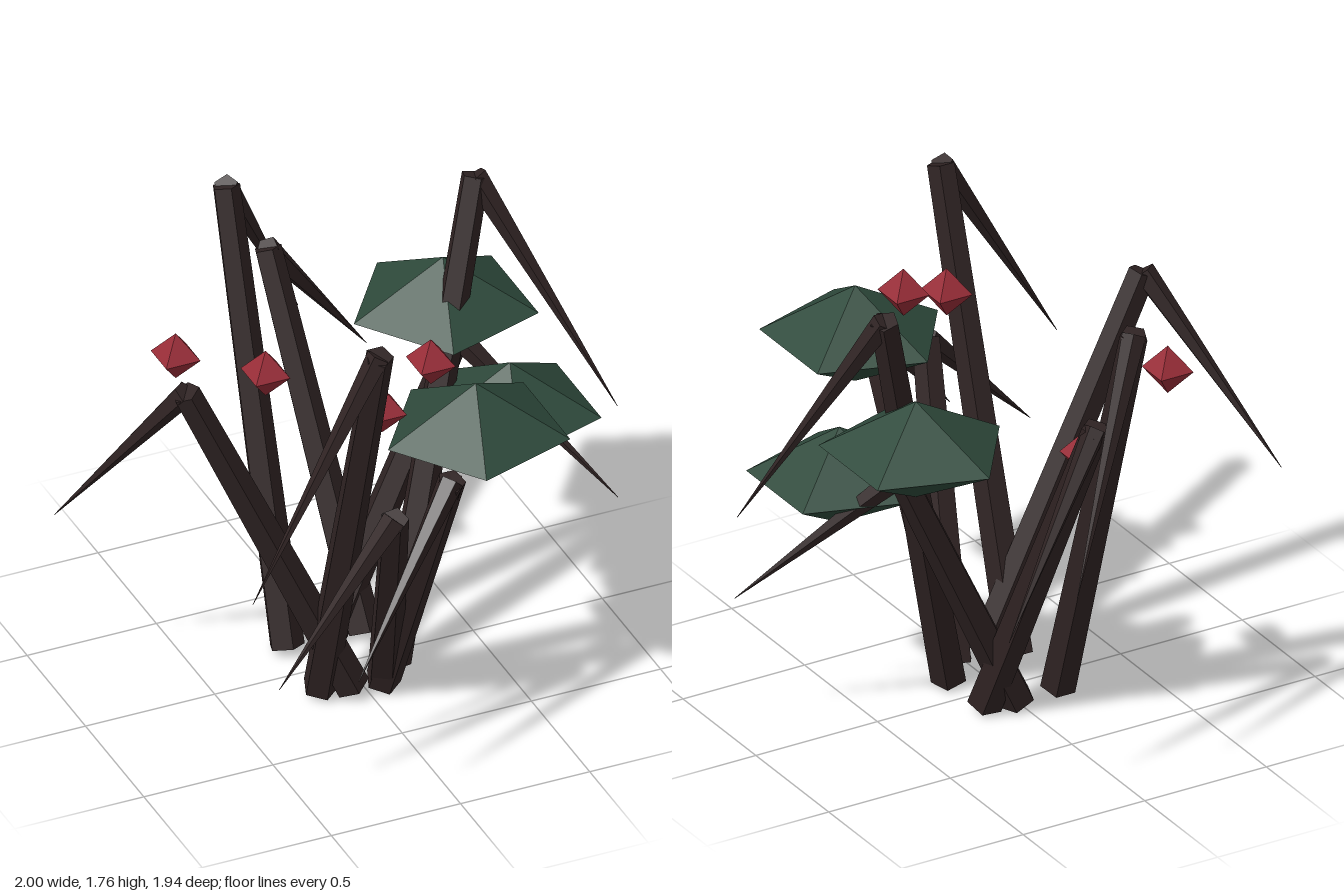
import * as THREE from 'three';

const mat = (name, color) => {
  const m = new THREE.MeshStandardMaterial({ color, flatShading: true });
  m.name = name;
  return m;
};

export function createModel() {
  const group = new THREE.Group();
  const bark = mat('dark bark', 0x2f2323);
  const leaf = mat('deep green', 0x2e493b);
  const berry = mat('berry red', 0x982c37);

  const add = (name, geometry, material, pos) => {
    const mesh = new THREE.Mesh(geometry, material);
    mesh.name = name;
    mesh.position.set(...pos);
    group.add(mesh);
    return mesh;
  };

  // Tapered five-sided limb running from a to b
  const limb = (name, a, b, ra, rb) => {
    const start = new THREE.Vector3(...a), dir = new THREE.Vector3(...b).sub(start);
    const mid = start.clone().addScaledVector(dir, 0.5);
    const mesh = add(name, new THREE.CylinderGeometry(rb, ra, dir.length(), 5), bark, mid.toArray());
    mesh.quaternion.setFromUnitVectors(new THREE.Vector3(0, 1, 0), dir.normalize());
  };

  // Stems: base, elbow, then the tips of their drooping thorns
  const stems = [
    [[-0.16, 0.03, 0.15], [-0.17, 1.74, 0.68], [-0.70, 0.89, 0.77]],
    [[0.14, 0.03, 0.11], [0.62, 1.74, -0.25], [1.0, 0.89, 0.13]],
    [[-0.06, 0.04, 0.20], [-0.68, 1.41, 0.15], [-1.0, 0.73, -0.27]],
    [[-0.16, 0.03, -0.14], [-0.16, 1.66, -0.66], [0.26, 0.86, -0.97]],
    [[0.13, 0.03, -0.12], [0.01, 1.34, -0.68], [0.48, 0.70, -0.87]],
    [[0.07, 0.03, 0.19], [-0.12, 1.05, 0.70], [-0.62, 0.54, 0.82]],
    [[0.06, 0.03, 0.20], [0.11, 1.14, 0.68], [-0.38, 0.60, 0.97], [0.12, 0.54, 0.43]],
    [[0.02, 0.03, -0.16], [0.54, 1.10, -0.23], [0.98, 0.54, 0.18]],
  ];
  for (const [base, elbow, ...tips] of stems) {
    limb('stem', base, elbow, 0.066, 0.052);
    for (const tip of tips) limb('thorn', elbow, tip, 0.045, 0.001);
  }

  // Flattened five-sided leaf clusters
  for (const [x, y, z, r] of [
    [0.265, 1.24, 0.545, 0.34],
    [0.51, 1.215, -0.28, 0.345],
    [0.60, 0.97, 0.095, 0.33],
  ]) {
    add('leafCluster', new THREE.SphereGeometry(r, 5, 2), leaf, [x, y, z]).scale.y = 0.19 / r;
  }

  // Floating berries
  for (const pos of [
    [-0.52, 1.26, -0.29], [-0.145, 1.05, -0.35], [-0.06, 1.355, 0.46],
    [0.165, 1.45, 0.38], [0.40, 0.90, 0.21],
  ]) {
    add('berry', new THREE.OctahedronGeometry(0.094), berry, pos).rotation.y = Math.PI / 4;
  }
  return group;
}
